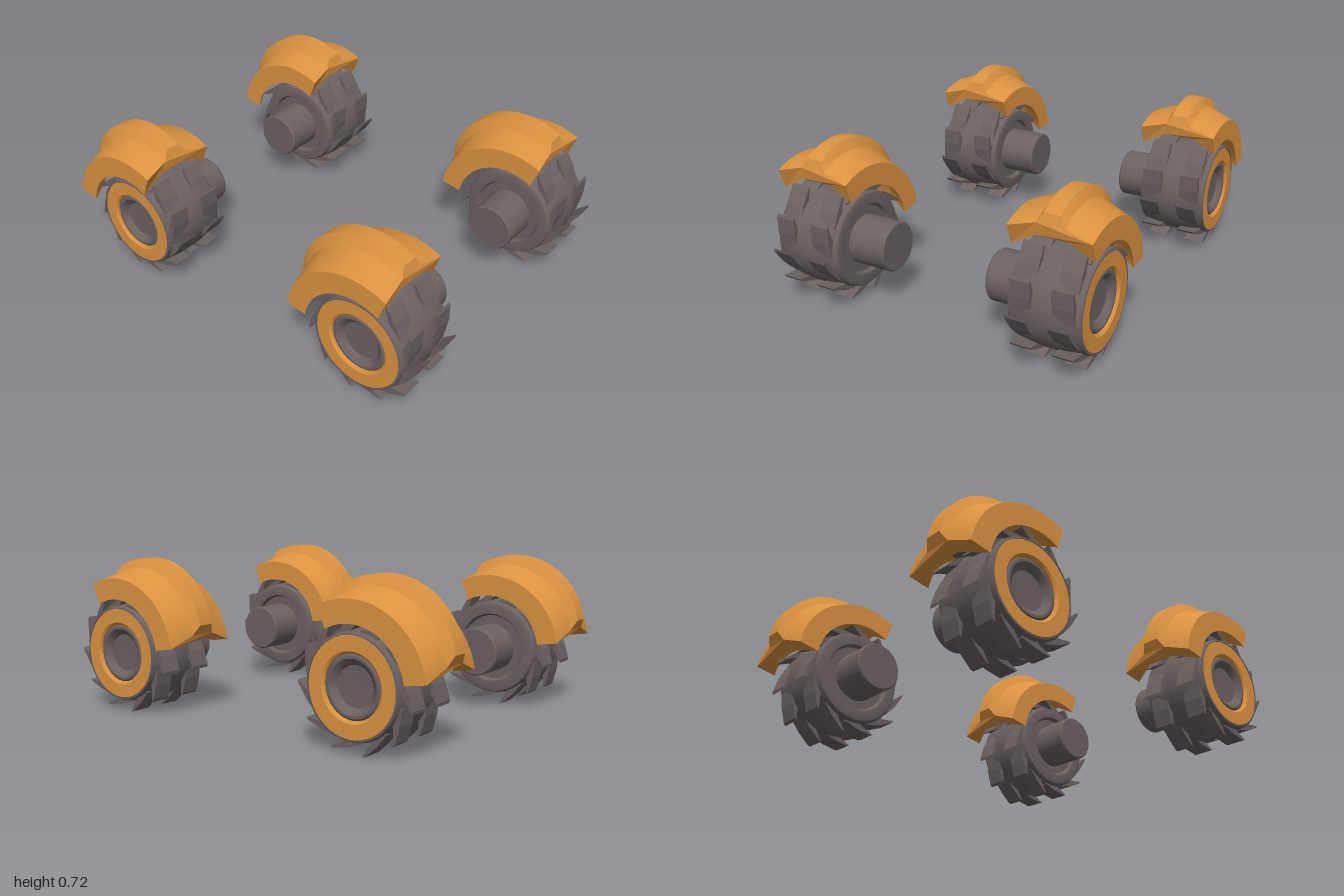
import * as THREE from 'three';
import { toCreasedNormals } from 'three/addons/utils/BufferGeometryUtils.js';

const DEG = Math.PI / 180;
const orange = new THREE.MeshStandardMaterial({ color: 0xdb9240 });
const grey = new THREE.MeshStandardMaterial({ color: 0x6b6161 });

function mesh(name, geometry, material) {
  const m = new THREE.Mesh(geometry, material);
  m.name = name;
  return m;
}

// Profile of [radius, distance outward] turned about the wheel axle
function turned(name, profile, material, side) {
  const points = profile.map(([r, a]) => new THREE.Vector2(r, a));
  const g = toCreasedNormals(new THREE.LatheGeometry(points, 48), 30 * DEG);
  g.rotateZ(-side * Math.PI / 2);
  return mesh(name, g, material);
}

const TYRE = [
  [0, -0.145], [0.155, -0.145], [0.165, -0.163], [0.205, -0.165], [0.216, -0.161], [0.221, -0.152],
  [0.224, -0.14], [0.236, -0.06], [0.236, 0.06], [0.224, 0.14],
  [0.221, 0.155], [0.218, 0.163], [0.21, 0.165], [0.208, 0.14], [0, 0.12]];
const RING = [
  [0.134, 0.12], [0.21, 0.12], [0.214, 0.154], [0.208, 0.163], [0.146, 0.163], [0.136, 0.155], [0.134, 0.12]];
const HUB = [
  [0.134, 0.11], [0.134, 0.148], [0.126, 0.154], [0.115, 0.154], [0.09, 0.135], [0.085, 0.125], [0, 0.125]];
const AXLE = [
  [0, -0.33], [0.108, -0.33], [0.114, -0.322], [0.114, -0.13], [0, -0.13]];

// Swept saw-like tread block, extruded across the tyre
function treadGeometry() {
  const corners = [[0, 0.281], [3, 0.28], [18, 0.25], [34, 0.23], [34, 0.2], [14, 0.2], [12, 0.23]];
  const shape = new THREE.Shape(corners.map(([a, r]) =>
    new THREE.Vector2(r * Math.cos(a * DEG), r * Math.sin(a * DEG))));
  const g = new THREE.ExtrudeGeometry(shape, { depth: 0.094, bevelEnabled: false });
  g.translate(0, 0, -0.047);
  return g.rotateY(Math.PI / 2);
}

// Fender section corners: [x, radius, drop at the ends, back angle, front angle]
const SECTION = [
  [-0.187, 0.255, 0, 9, 118], [-0.07, 0.32, 0, 13, 114],
  [0.07, 0.32, 0, 13, 114], [0.187, 0.255, 0, 9, 118],
  [0.187, 0.354, 0, 9, 116], [0.062, 0.403, 0.025, 16, 112],
  [0.037, 0.449, 0.035, 21, 108], [-0.037, 0.449, 0.035, 21, 108],
  [-0.062, 0.403, 0.025, 16, 112], [-0.187, 0.354, 0, 9, 116]];

function fenderGeometry() {
  const STEPS = 28, n = SECTION.length;
  const pos = [], index = [];
  const add = (k, t) => {
    const [x, r0, drop, back, front] = SECTION[k % n];
    const a = (back + (front - back) * t) * DEG;
    const r = r0 - drop * (2 * t - 1) ** 2;
    pos.push(x, r * Math.sin(a), -r * Math.cos(a));
  };
  // one strip per side of the section keeps the long edges crisp
  for (let k = 0; k < n; k++) {
    const base = pos.length / 3;
    for (let j = 0; j <= STEPS; j++) {
      add(k, j / STEPS);
      add(k + 1, j / STEPS);
      if (j < STEPS) {
        const p = base + 2 * j;
        index.push(p, p + 1, p + 2, p + 1, p + 3, p + 2);
      }
    }
  }
  // end faces
  const outline = SECTION.map(([x, r]) => new THREE.Vector2(x, r));
  const faces = THREE.ShapeUtils.triangulateShape(outline, []);
  for (const t of [0, 1]) {
    for (const [a, b, c] of faces) {
      const base = pos.length / 3;
      for (const k of t ? [a, b, c] : [a, c, b]) add(k, t);
      index.push(base, base + 1, base + 2);
    }
  }
  const g = new THREE.BufferGeometry();
  g.setAttribute('position', new THREE.Float32BufferAttribute(pos, 3));
  g.setIndex(index);
  g.computeVertexNormals();
  return g;
}

function wheel(side, tread) {
  const g = new THREE.Group();
  g.name = 'wheel';
  g.add(
    turned('tyre', TYRE, grey, side),
    turned('rimRing', RING, orange, side),
    turned('hub', HUB, grey, side),
    turned('axle', AXLE, grey, side));
  // two rows of eleven tread blocks
  for (const x of [-0.094, 0.094]) {
    for (let i = 0; i < 11; i++) {
      const block = mesh('treadBlock', tread, grey);
      block.position.x = x;
      block.rotation.x = Math.PI + i * 2 * Math.PI / 11;
      g.add(block);
    }
  }
  // the axle turns the other way from the block angles
  g.children.forEach(c => { if (c.name === 'treadBlock') c.rotation.x *= 1; });
  return g;
}

export function createModel() {
  const model = new THREE.Group();
  model.name = 'wheelSet';
  const tread = treadGeometry();
  const fender = fenderGeometry();
  for (const [endName, z] of [['front', 0.72], ['back', -0.606]]) {
    for (const [sideName, side, wheelX, fenderX] of [['Left', 1, 0.595, 0.582], ['Right', -1, -0.583, -0.585]]) {
      const unit = new THREE.Group();
      unit.name = endName + sideName + 'Wheel';
      unit.position.set(0, 0.281, z);
      const w = wheel(side, tread);
      w.position.x = wheelX;
      const f = mesh('fender', fender, orange);
      f.position.x = fenderX;
      unit.add(w, f);
      model.add(unit);
    }
  }
  return model;
}
